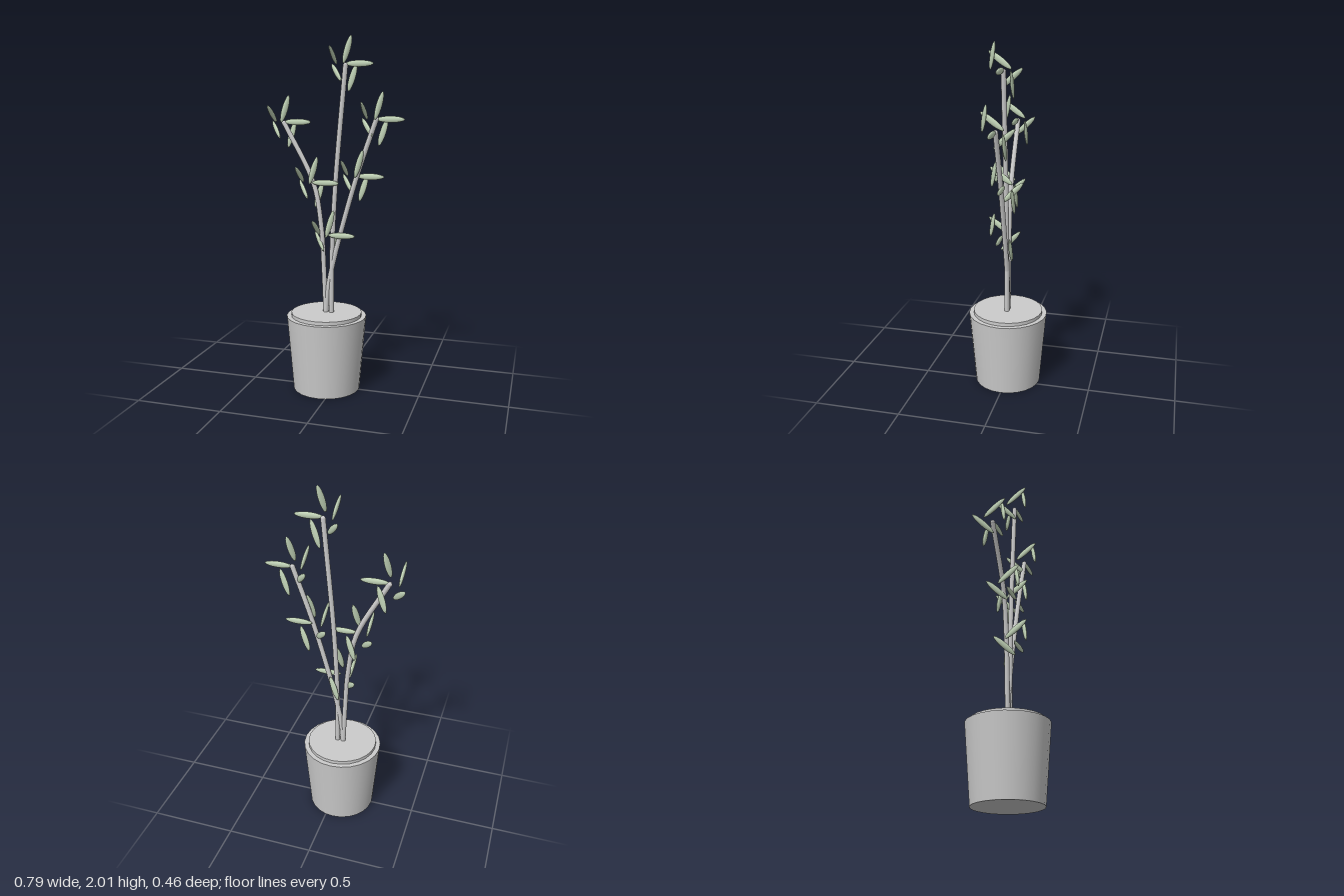
import * as THREE from 'three';

const grey = new THREE.MeshStandardMaterial({ color: 0xcccccc });
const green = new THREE.MeshStandardMaterial({ color: 0xc2d4b8 });

function add(parent, name, geometry, material) {
  const mesh = new THREE.Mesh(geometry, material);
  mesh.name = name;
  parent.add(mesh);
  return mesh;
}

// Five flat leaves spiralling round a node, each turned further about its own axes
function leafCluster(position) {
  const cluster = new THREE.Group();
  cluster.name = 'leafCluster';
  cluster.position.set(...position);
  const leafShape = new THREE.SphereGeometry(1, 12, 10).scale(0.079, 0.018, 0.0095);
  for (let i = 0; i < 5; i++) {
    const a = (i / 5) * Math.PI * 2;
    const leaf = add(cluster, 'leaf', leafShape, green);
    leaf.position.set(0.077 * Math.cos(a), 0.077 * Math.sin(a), 0.056 * Math.sin(a));
    leaf.rotation.set(0, 0.76 * i, a);
  }
  return cluster;
}

export function createModel() {
  const plant = new THREE.Group();
  plant.name = 'pottedPlant';

  // Tapered pot and the soil disc standing just above its rim
  const potX = -0.047;
  add(plant, 'pot', new THREE.CylinderGeometry(0.23, 0.194, 0.435, 24), grey)
    .position.set(potX, 0.2175, 0);
  add(plant, 'soil', new THREE.CylinderGeometry(0.203, 0.203, 0.04, 24), grey)
    .position.set(potX, 0.435, 0);

  // Stems, all in the plane z = 0
  const stems = {
    leftStem: [[-0.052, 0.44], [-0.062, 0.7], [-0.077, 0.95], [-0.122, 1.2], [-0.296, 1.54]],
    middleStem: [[-0.018, 0.44], [-0.014, 0.8], [0.006, 1.2], [0.063, 1.855]],
    rightStem: [[-0.052, 0.44], [-0.037, 0.6], [0.005, 0.8], [0.127, 1.24], [0.238, 1.565]],
  };
  for (const [name, points] of Object.entries(stems)) {
    const path = new THREE.CatmullRomCurve3(points.map(([x, y]) => new THREE.Vector3(x, y, 0)));
    add(plant, name, new THREE.TubeGeometry(path, 24, 0.0145, 8), grey);
    // Close the tip
    const [tipX, tipY] = points[points.length - 1];
    add(plant, 'stemTip', new THREE.SphereGeometry(0.0143, 8, 6), grey).position.set(tipX, tipY - 0.003, 0);
  }

  // Leaf clusters at the stem tips and along the stems
  const nodes = [
    [0.064, 1.86, 0], [-0.293, 1.543, 0], [0.24, 1.563, 0],
    [-0.124, 1.207, 0.02], [0.125, 1.246, -0.02], [-0.027, 0.912, 0.028],
  ];
  for (const node of nodes) plant.add(leafCluster(node));

  return plant;
}
